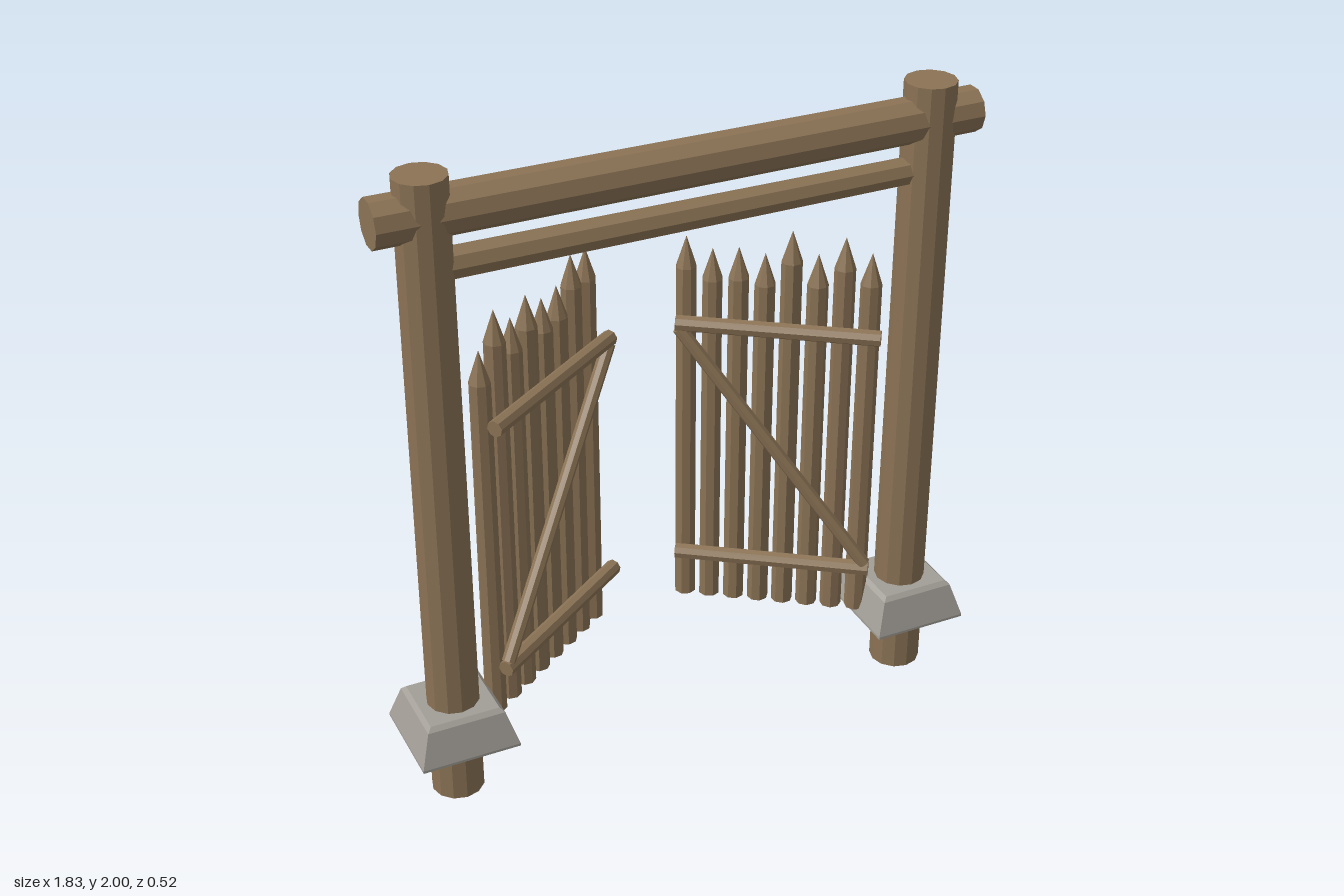
import * as THREE from 'three';

export function createModel() {
  const wood = new THREE.MeshStandardMaterial({ color: 0x8b7355, flatShading: true });
  wood.name = 'wood';
  const stone = new THREE.MeshStandardMaterial({ color: 0xa29e97, flatShading: true });
  stone.name = 'stone';

  const model = new THREE.Group();
  model.name = 'palisadeGate';

  // Straight log between two points
  function log(parent, name, a, b, r0, r1, sides) {
    const from = new THREE.Vector3(...a), to = new THREE.Vector3(...b);
    const dir = to.clone().sub(from);
    const mesh = new THREE.Mesh(new THREE.CylinderGeometry(r1, r0, dir.length(), sides), wood);
    mesh.name = name;
    mesh.position.copy(from).add(to).multiplyScalar(0.5);
    mesh.quaternion.setFromUnitVectors(new THREE.Vector3(0, 1, 0), dir.normalize());
    parent.add(mesh);
  }

  // Square stone footing from stacked [half width, height] rings, bevelled at the edges
  function footing(x, z) {
    const profile = [[0, 0.188], [0.138, 0.188], [0.152, 0.195], [0.152, 0.203],
      [0.12, 0.307], [0.107, 0.32], [0, 0.32]];
    const points = profile.map(([w, y]) => new THREE.Vector2(w * Math.SQRT2, y));
    const geo = new THREE.LatheGeometry(points, 4);
    geo.rotateY(Math.PI / 4);
    const mesh = new THREE.Mesh(geo, stone);
    mesh.name = 'footing';
    mesh.position.set(x, 0, z);
    model.add(mesh);
  }

  // Posts with footings
  const postZ = 0.11;
  for (const side of [-1, 1]) {
    const x = side * 0.763;
    log(model, 'post', [x, 0, postZ], [x, 2, postZ], 0.08, 0.077, 12);
    footing(x, postZ - 0.003);
  }

  // Crossbeams
  log(model, 'topBeam', [-0.91, 1.888, postZ], [0.91, 1.888, postZ], 0.071, 0.068, 10);
  log(model, 'lowerBeam', [-0.71, 1.733, postZ], [0.71, 1.733, postZ], 0.047, 0.042, 8);

  // Gate leaves swung inwards; tips run from the free edge to the hinge
  const leaves = [
    { side: -1, name: 'rightLeaf', tips: [1.52, 1.53, 1.465, 1.46, 1.505, 1.47, 1.53, 1.44] },
    { side: 1, name: 'leftLeaf', tips: [1.49, 1.455, 1.465, 1.45, 1.53, 1.46, 1.52, 1.475] },
  ];
  for (const { side, name, tips } of leaves) {
    const leaf = new THREE.Group();
    leaf.name = name;
    model.add(leaf);

    // Sharpened stakes
    tips.forEach((tip, i) => {
      const h = tip - 0.22, r = 0.034;
      const profile = [[0, 0], [r, 0], [r * 0.95, h - 0.1], [0, h]];
      const geo = new THREE.LatheGeometry(profile.map(p => new THREE.Vector2(...p)), 8);
      geo.rotateY(i * 0.7);
      const stake = new THREE.Mesh(geo, wood);
      stake.name = 'stake';
      stake.position.set(side * (0.164 + i * 0.065), 0.22, -0.232 + i * 0.045);
      leaf.add(stake);
    });

    // Rails and diagonal brace
    for (const y of [0.412, 1.232]) {
      log(leaf, 'rail', [side * 0.108, y, -0.187], [side * 0.612, y, 0.165], 0.025, 0.025, 8);
    }
    log(leaf, 'brace', [side * 0.115, 1.215, -0.182], [side * 0.6, 0.43, 0.157], 0.021, 0.021, 8);
  }

  return model;
}
